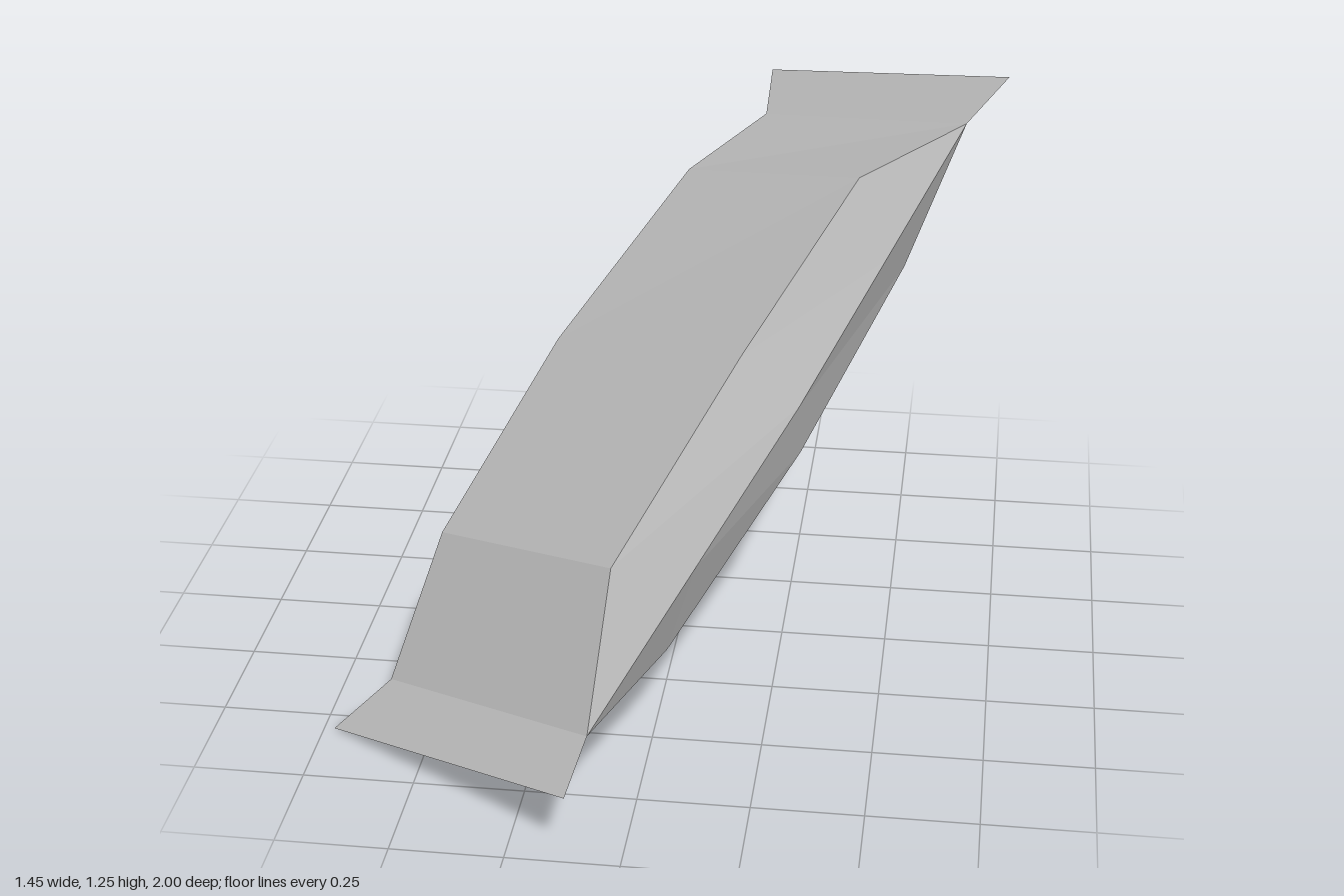
import * as THREE from 'three';

const V = (x, y, z) => new THREE.Vector3(x, y, z);
const mid = (a, b) => a.clone().lerp(b, 0.5);

// Skin a list of rings with flat-shaded quads, skipping collapsed triangles
function loft(rings, closed) {
  const pos = [];
  const tri = (a, b, c) => {
    const area = b.clone().sub(a).cross(c.clone().sub(a)).length();
    if (area > 1e-6) for (const p of [a, b, c]) pos.push(p.x, p.y, p.z);
  };
  for (let i = 0; i + 1 < rings.length; i++) {
    const n = rings[i].length;
    for (let j = 0; j < (closed ? n : n - 1); j++) {
      const k = (j + 1) % n;
      const [a, b, c, d] = [rings[i][j], rings[i][k], rings[i + 1][k], rings[i + 1][j]];
      tri(a, b, c);
      tri(a, c, d);
    }
  }
  const geo = new THREE.BufferGeometry();
  geo.setAttribute('position', new THREE.Float32BufferAttribute(pos, 3));
  geo.computeVertexNormals();
  return geo;
}

export function createModel() {
  const wrapper = new THREE.MeshStandardMaterial({ color: 0xb8b8b8, flatShading: true, side: THREE.DoubleSide });
  wrapper.name = 'grey wrapper';
  const group = new THREE.Group();
  group.name = 'wrappedBar';
  const add = (name, geo) => {
    const mesh = new THREE.Mesh(geo, wrapper);
    mesh.name = name;
    group.add(mesh);
  };

  // Pinched seams and flap edges, each [right-hand -x corner, left-hand +x corner]
  const lowEdge = [V(-0.727, 0.003, 0.555), V(-0.118, 0.163, 0.998)];
  const lowSeam = [V(-0.607, 0.098, 0.48), V(-0.09, 0.23, 0.86)];
  const highSeam = [V(0.115, 1.03, -0.843), V(0.63, 1.162, -0.468)];
  const highEdge = [V(0.115, 1.095, -1), V(0.725, 1.252, -0.557)];

  // Side creases run from seam to seam through the middle of the bar
  const sideA = V(-0.295, 0.54, -0.2), sideB = V(0.297, 0.715, 0.2);
  const ring = (topA, topB, midB, botB, botA, midA) => [topA, topB, midB, botB, botA, midA];
  const pinch = ([a, b]) => ring(a, b, b, b, a, a);

  // Puffy body
  add('body', loft([
    pinch(lowSeam),
    ring(V(-0.51, 0.4, 0.317), V(-0.067, 0.523, 0.65), mid(lowSeam[1], sideB),
      V(0.037, 0.25, 0.52), V(-0.39, 0.165, 0.2), mid(lowSeam[0], sideA)),
    ring(V(-0.31, 0.697, -0.13), V(0.165, 0.84, 0.22), sideB,
      V(0.295, 0.555, 0.11), V(-0.155, 0.43, -0.22), sideA),
    ring(V(-0.045, 0.99, -0.53), V(0.393, 1.115, -0.2), mid(highSeam[1], sideB),
      V(0.5, 0.842, -0.335), V(0.07, 0.755, -0.637), mid(highSeam[0], sideA)),
    pinch(highSeam),
  ], true));

  // Flat crimped ends
  add('lowerFlap', loft([lowEdge, lowSeam], false));
  add('upperFlap', loft([highSeam, highEdge], false));
  return group;
}
